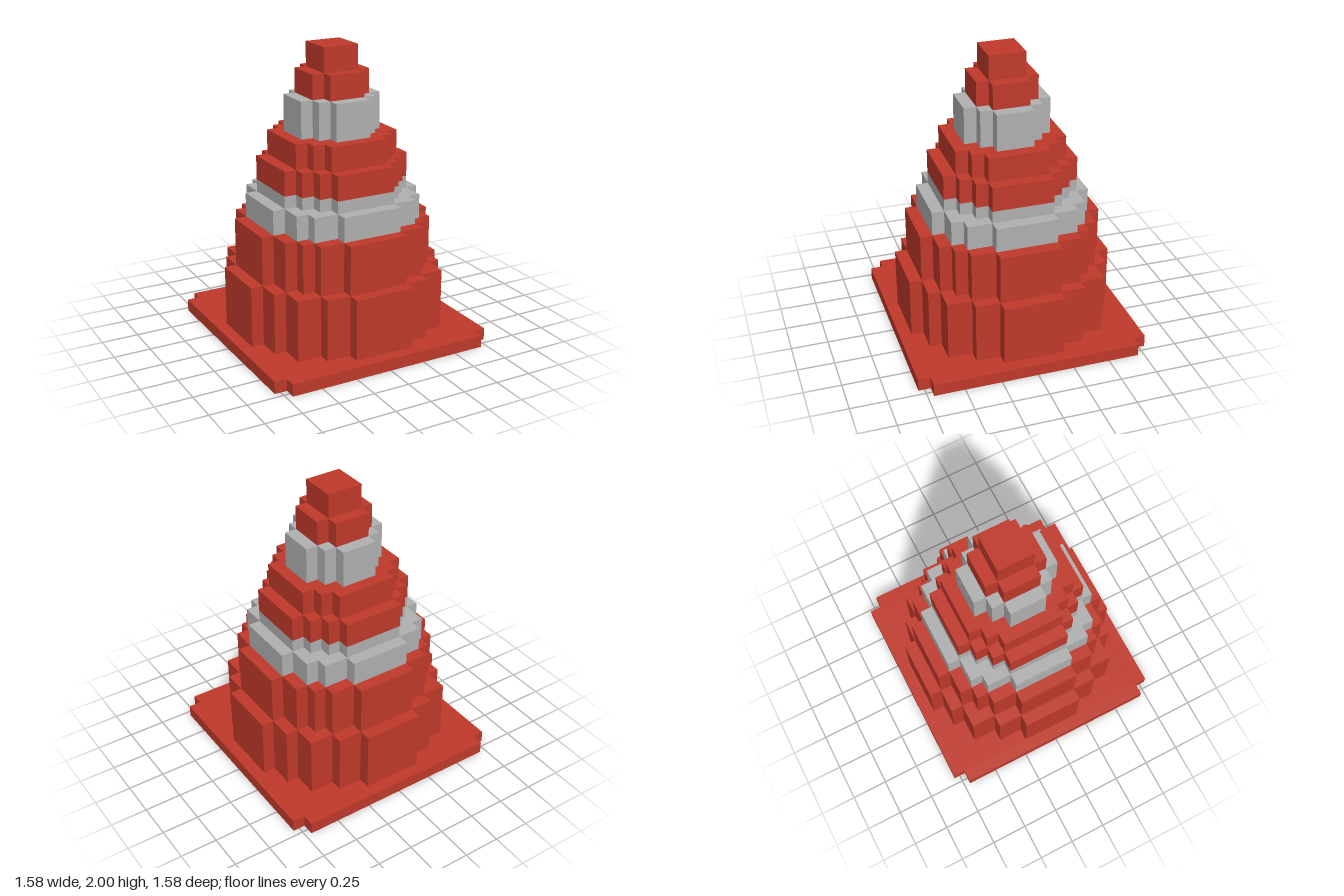
import * as THREE from 'three';

const U = 1 / 12; // one voxel

// Outline of a voxel layer, traced from the half-width of each row of cells
function layerShape(radius, halfWidth) {
  const right = [];
  for (let row = -radius; row <= radius; row++) {
    const w = halfWidth(row);
    if (row > -radius && w === halfWidth(row - 1)) right.pop();
    else right.push([w, row - 0.5]);
    right.push([w, row + 0.5]);
  }
  const left = right.map(([x, y]) => [-x, y]).reverse();
  return new THREE.Shape([...right, ...left].map(([x, y]) => new THREE.Vector2(x * U, y * U)));
}

// Widest cell of each row that stays within a voxel disc
const disc = (radius) => (row) => Math.floor(Math.sqrt((radius + 0.5) ** 2 - row * row)) + 0.5;

// Square with its four corner cells removed
const notchedSquare = (radius) => (row) => (Math.abs(row) === radius ? radius - 0.5 : radius + 0.5);

export function createModel() {
  const red = new THREE.MeshStandardMaterial({ color: 0xc0392b });
  red.name = 'red';
  const grey = new THREE.MeshStandardMaterial({ color: 0xb0b0b0 });
  grey.name = 'light grey';

  const group = new THREE.Group();
  group.name = 'trafficCone';

  // name, radius in cells, bottom and top in cells, material, outline rule
  const layers = [
    ['basePlate', 9, 0, 1, red, notchedSquare],
    ['lowerBody', 8, 1, 6, red, disc],
    ['upperBody', 7, 6, 10, red, disc],
    ['lowerStripe', 6, 10, 12, grey, disc],
    ['lowerStripeTop', 5, 12, 13, grey, disc],
    ['middleBody', 5, 13, 15, red, disc],
    ['middleBodyTop', 4, 15, 17, red, disc],
    ['upperStripe', 3, 17, 20, grey, disc],
    ['neck', 2, 20, 22, red, disc],
    ['tip', 1, 22, 24, red, disc],
  ];

  for (const [name, radius, bottom, top, material, rule] of layers) {
    const geometry = new THREE.ExtrudeGeometry(layerShape(radius, rule(radius)), {
      depth: (top - bottom) * U,
      bevelEnabled: false,
    });
    geometry.rotateX(-Math.PI / 2);
    const mesh = new THREE.Mesh(geometry, material);
    mesh.name = name;
    mesh.position.y = bottom * U;
    group.add(mesh);
  }
  return group;
}
